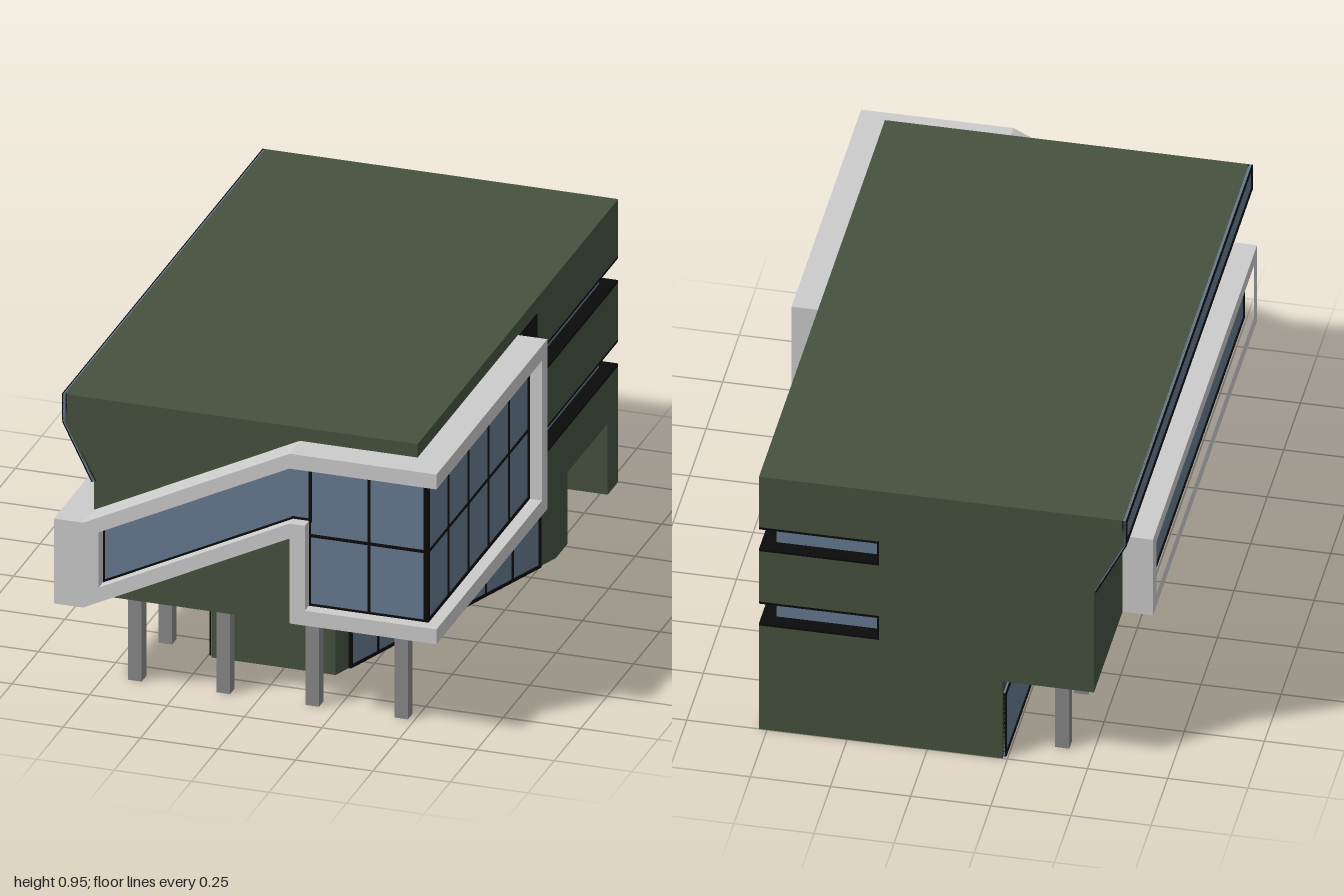
import * as THREE from 'three';

const mat = (color) => new THREE.MeshStandardMaterial({ color });
const GREEN = mat(0x46513f), GLASS = mat(0x667990), BLACK = mat(0x0a0a0a);
const GREY = mat(0xcccccc), POST = mat(0x888888);

function add(parent, name, geometry, material) {
  const mesh = new THREE.Mesh(geometry, material);
  mesh.name = name;
  parent.add(mesh);
  return mesh;
}

// Box given by its limits on each axis
function box(parent, name, material, [x0, x1], [y0, y1], [z0, z1]) {
  const m = add(parent, name, new THREE.BoxGeometry(x1 - x0, y1 - y0, z1 - z0), material);
  m.position.set((x0 + x1) / 2, (y0 + y1) / 2, (z0 + z1) / 2);
  return m;
}

const shapeOf = (pts) => new THREE.Shape(pts.map(([a, b]) => new THREE.Vector2(a, b)));
const extrude = (shape, depth) => new THREE.ExtrudeGeometry(shape, { depth, bevelEnabled: false });

// Floor plan in (x, z), raised from y0 to y1
function planSolid(parent, name, material, pts, y0, y1) {
  const g = extrude(shapeOf(pts.map(([x, z]) => [x, -z])), y1 - y0);
  return add(parent, name, g.rotateX(-Math.PI / 2).translate(0, y0, 0), material);
}

// Elevation in (x, y), extruded from z0 to z1
function frontSolid(parent, name, material, pts, z0, z1) {
  return add(parent, name, extrude(shapeOf(pts), z1 - z0).translate(0, 0, z0), material);
}

// Elevation in (z, y), extruded from x0 to x1, with an optional hole
function sideSolid(parent, name, material, pts, x0, x1, hole) {
  const flip = (list) => list.map(([z, y]) => [-z, y]);
  const shape = shapeOf(flip(pts));
  if (hole) shape.holes.push(shapeOf(flip(hole)));
  return add(parent, name, extrude(shape, x1 - x0).rotateY(Math.PI / 2).translate(x0, 0, 0), material);
}

// Straight bar between two points in the local xy plane
function bar(parent, [ax, ay], [bx, by], t = 0.01, z = 0) {
  const len = Math.hypot(bx - ax, by - ay) + t;
  const m = add(parent, 'windowBar', new THREE.BoxGeometry(len, t, 0.016), BLACK);
  m.position.set((ax + bx) / 2, (ay + by) / 2, z);
  m.rotation.z = Math.atan2(by - ay, bx - ax);
}

// Flat window facing local +z, split into columns and rows
function windowPanel(parent, name, w, h, cols, rows, position, turn, tilt = 0) {
  const g = new THREE.Group();
  g.name = name;
  add(g, 'glass', new THREE.BoxGeometry(w, h, 0.008), GLASS);
  const a = w / 2 - 0.005, b = h / 2 - 0.005;
  for (let i = 0; i <= cols; i++) {
    const x = -a + (2 * a * i) / cols;
    bar(g, [x, -b], [x, b], i % cols ? 0.007 : 0.01);
  }
  for (let j = 0; j <= rows; j++) {
    const y = -b + (2 * b * j) / rows;
    bar(g, [-a, y], [a, y], j % rows ? 0.007 : 0.01);
  }
  g.position.set(...position);
  g.rotation.set(tilt, turn, 0, 'YXZ');
  parent.add(g);
}

export function createModel() {
  const model = new THREE.Group();
  model.name = 'building';
  const R = Math.PI / 2;

  // Upper storeys: overhanging left portion and recessed right core
  frontSolid(model, 'upperBody', GREEN, [[-0.52, 0.29], [0.15, 0.29], [0.15, 0.95],
    [-0.615, 0.95], [-0.615, 0.86], [-0.52, 0.67]], -1, 0.9);
  box(model, 'upperCore', GREEN, [0.15, 0.475], [0.29, 0.95], [-0.95, 0.9]);

  // L-shaped skin around the back right corner, leaving two window bands
  const corner = (o) => [[0.475, -0.23], [0.475 + o, -0.23], [0.475 + o, -0.95 - o],
    [0.15, -0.95 - o], [0.15, -0.95], [0.475, -0.95]];
  for (const [y0, y1] of [[0.29, 0.39], [0.48, 0.67], [0.76, 0.95]]) {
    planSolid(model, 'cornerWall', GREEN, corner(0.05), y0, y1);
  }
  for (const [y0, y1] of [[0.39, 0.48], [0.67, 0.76]]) {
    planSolid(model, 'bandGlass', GLASS, corner(0.004), y0, y1);
    planSolid(model, 'bandSill', BLACK, corner(0.05), y0, y0 + 0.008);
    planSolid(model, 'bandHead', BLACK, corner(0.05), y1 - 0.008, y1);
    box(model, 'bandEnd', BLACK, [0.15, 0.156], [y0, y1], [-1, -0.95]);
  }

  // Front part of the right wall and the tall glazed slot
  box(model, 'rightWall', GREEN, [0.475, 0.525], [0.29, 0.95], [-0.05, 0.9]);
  box(model, 'slotBase', GREEN, [0.475, 0.525], [0.29, 0.34], [-0.23, -0.05]);
  box(model, 'slotTop', GREEN, [0.475, 0.525], [0.9, 0.95], [-0.23, -0.05]);
  box(model, 'slotGlass', GLASS, [0.475, 0.479], [0.34, 0.9], [-0.23, -0.05]);
  box(model, 'slotSill', BLACK, [0.475, 0.525], [0.34, 0.347], [-0.23, -0.05]);
  box(model, 'slotHead', BLACK, [0.475, 0.525], [0.893, 0.9], [-0.23, -0.05]);
  box(model, 'slotJamb', BLACK, [0.475, 0.525], [0.34, 0.9], [-0.056, -0.05]);
  for (const y of [[0.34, 0.398], [0.472, 0.678], [0.752, 0.9]]) {
    box(model, 'slotJamb', BLACK, [0.475, 0.526], y, [-0.231, -0.223]);
  }

  // Left overhang: upright and sloping ribbon windows
  windowPanel(model, 'upperRibbon', 1.9, 0.09, 1, 1, [-0.615, 0.905, -0.05], -R);
  windowPanel(model, 'slopingRibbon', 1.9, 0.212, 1, 1, [-0.5675, 0.765, -0.05], -R, Math.atan(0.5));

  // Projecting frame: stepped front, open at the right corner
  frontSolid(model, 'frontFrame', GREY, [[-0.52, 0.29], [0.145, 0.62], [0.145, 0.335], [0.62, 0.335],
    [0.62, 0.385], [0.195, 0.385], [0.195, 0.67], [0.145, 0.67], [-0.47, 0.365], [-0.47, 0.55],
    [0.145, 0.855], [0.62, 0.855], [0.62, 0.905], [0.145, 0.905], [-0.52, 0.575]], 0.9, 1);
  sideSolid(model, 'rightFrame', GREY, [[0.9, 0.335], [0.9, 0.385], [0, 0.385], [0, 0.855],
    [0.9, 0.855], [0.9, 0.905], [-0.05, 0.905], [-0.05, 0.335]], 0.525, 0.62);
  sideSolid(model, 'leftFrame', GREY, [[1, 0.29], [1, 0.575], [-0.57, 0.575], [-0.57, 0.29]],
    -0.615, -0.52, [[0.95, 0.335], [0.95, 0.53], [-0.52, 0.53], [-0.52, 0.335]]);
  windowPanel(model, 'leftWindow', 1.47, 0.195, 1, 1, [-0.58, 0.4325, 0.215], -R);

  // Front glazing following the stepped frame
  const pane = [[-0.47, 0.365], [0.145, 0.67], [0.195, 0.67], [0.195, 0.385],
    [0.575, 0.385], [0.575, 0.855], [0.145, 0.855], [-0.47, 0.55]];
  const front = new THREE.Group();
  front.name = 'frontWindow';
  model.add(front);
  frontSolid(front, 'glass', GLASS, pane, 0.9, 0.955);
  pane.forEach((p, i) => bar(front, p, pane[(i + 1) % pane.length], 0.011, 0.953));
  bar(front, [0.198, 0.67], [0.198, 0.855], 0.01, 0.953);
  bar(front, [0.388, 0.385], [0.388, 0.855], 0.008, 0.953);
  bar(front, [0.195, 0.62], [0.575, 0.62], 0.008, 0.953);
  windowPanel(model, 'rightWindow', 0.96, 0.47, 5, 2, [0.573, 0.62, 0.48], R);

  // Ground floor with a slanted glazed wall and an entrance recess
  planSolid(model, 'groundFloor', GREEN, [[-0.235, 0.62], [0.165, 0.62], [0.525, -0.41], [0.525, -0.52],
    [0.335, -0.52], [0.335, -0.9], [0.525, -0.9], [0.525, -1], [-0.235, -1]], 0, 0.29);
  box(model, 'entranceHead', GREEN, [0.335, 0.525], [0.24, 0.29], [-0.9, -0.52]);
  windowPanel(model, 'slantedWindow', 0.943, 0.238, 7, 1, [0.343, 0.12, 0.115], Math.atan2(0.89, 0.311));
  windowPanel(model, 'groundLeftWindow', 1.6, 0.238, 1, 1, [-0.237, 0.12, -0.19], -R);

  // Entrance: side lights, transom and double door
  windowPanel(model, 'entranceGlazing', 0.378, 0.238, 1, 1, [0.337, 0.12, -0.71], R);
  for (const z of [-0.81, -0.71, -0.61]) {
    box(model, 'doorPost', BLACK, [0.335, 0.347], [0, z === -0.71 ? 0.2 : 0.238], [z - 0.005, z + 0.005]);
  }
  for (const z of [-0.76, -0.66]) {
    box(model, 'doorLeaf', BLACK, [0.335, 0.344], [0, 0.2], [z - 0.049, z + 0.049]);
  }

  // Columns along the front and left sides
  const column = (x, z) => box(model, 'column', POST, [x - 0.022, x + 0.022], [0, 0.29], [z - 0.022, z + 0.022]);
  for (const x of [-0.117, 0.17, 0.457]) column(x, 0.835);
  for (let i = 0; i < 7; i++) column(-0.402, 0.835 - 0.287 * i);

  return model;
}
